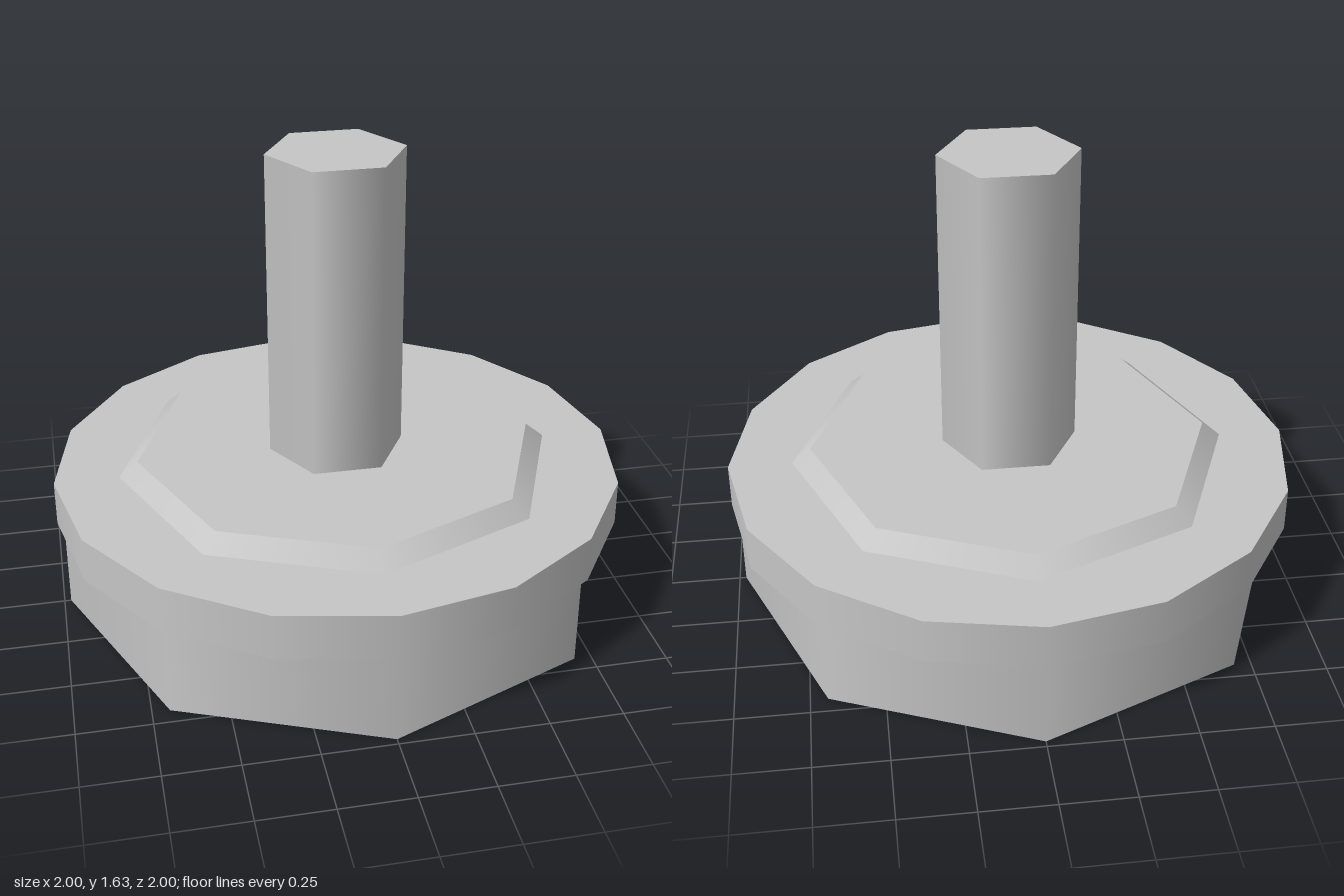
import * as THREE from 'three';

export function createModel() {
  const group = new THREE.Group();
  const grey = new THREE.MeshStandardMaterial({ color: 0xc6c6c6 });
  grey.name = 'plain grey';

  // Smooth-sided prism or frustum between two heights
  function prism(name, topRadius, bottomRadius, y0, y1, sides, turn = 0) {
    const geometry = new THREE.CylinderGeometry(topRadius, bottomRadius, y1 - y0, sides, 1, false, turn);
    const mesh = new THREE.Mesh(geometry, grey);
    mesh.name = name;
    mesh.position.y = (y0 + y1) / 2;
    group.add(mesh);
  }

  prism('base', 0.977, 0.977, 0, 0.33, 8);
  prism('rim', 1, 1, 0.33, 0.49, 16);
  prism('bevelledCap', 0.708, 0.774, 0.49, 0.545, 8);
  // Hexagonal stem with corners on the x axis
  prism('stem', 0.238, 0.238, 0.545, 1.633, 6, Math.PI / 6);

  return group;
}
